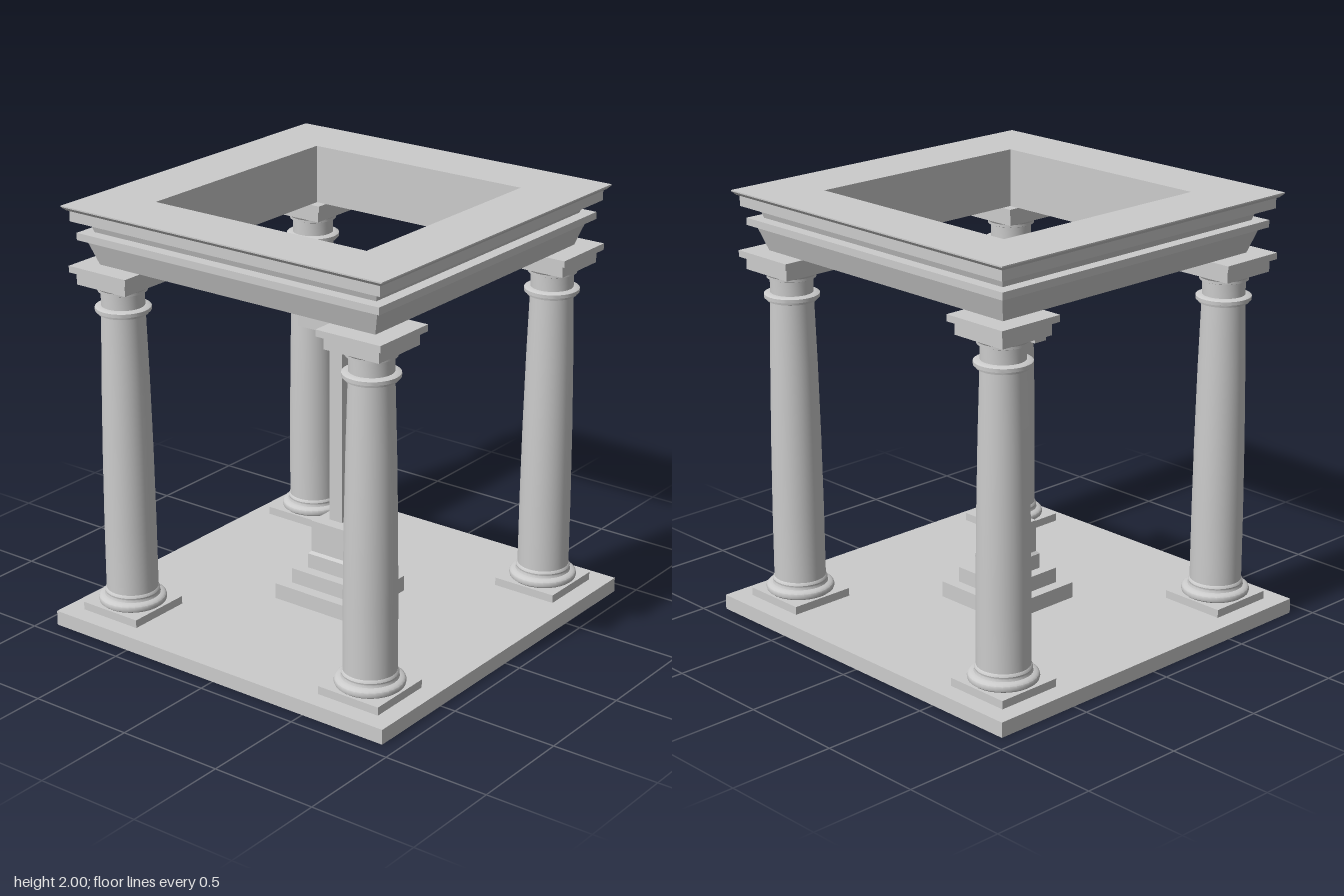
import * as THREE from 'three';
import { toCreasedNormals } from 'three/addons/utils/BufferGeometryUtils.js';

const material = new THREE.MeshStandardMaterial({ color: 0xcccccc });
const flatMaterial = new THREE.MeshStandardMaterial({ color: 0xcccccc, flatShading: true });
const points = (list) => list.map(([x, y]) => new THREE.Vector2(x, y));

// Box given by its half width and its bottom and top heights
function block(name, half, bottom, top, halfDepth = half) {
  const mesh = new THREE.Mesh(new THREE.BoxGeometry(half * 2, top - bottom, halfDepth * 2), material);
  mesh.position.y = (bottom + top) / 2;
  mesh.name = name;
  return mesh;
}

// Round moulding turned from a [radius, height] profile
function turned(name, profile) {
  const geometry = toCreasedNormals(new THREE.LatheGeometry(points(profile), 32), 0.6);
  const mesh = new THREE.Mesh(geometry, material);
  mesh.name = name;
  return mesh;
}

// Square moulding swept from a [half width, height] profile
function squareMoulding(name, profile) {
  const scaled = profile.map(([half, y]) => [half * Math.SQRT2, y]);
  const geometry = new THREE.LatheGeometry(points(scaled), 4);
  geometry.rotateY(Math.PI / 4);
  const mesh = new THREE.Mesh(geometry, flatMaterial);
  mesh.name = name;
  return mesh;
}

function createColumn() {
  const column = new THREE.Group();
  column.name = 'column';
  column.add(block('plinth', 0.159, 0.07, 0.108));
  column.add(turned('columnBase', [
    [0, 0.108], [0.145, 0.108], [0.154, 0.115], [0.157, 0.126], [0.154, 0.138], [0.145, 0.146],
    [0.128, 0.149], [0.124, 0.16], [0.126, 0.168], [0.122, 0.178], [0.117, 0.182],
  ]));
  // Shaft with a gentle swelling
  column.add(turned('shaft', [
    [0.119, 0.178], [0.118, 0.5], [0.114, 0.85], [0.107, 1.2], [0.098, 1.505],
  ]));
  column.add(turned('neckRing', [
    [0.097, 1.5], [0.113, 1.505], [0.115, 1.515], [0.125, 1.518],
    [0.125, 1.534], [0.115, 1.539], [0.097, 1.541],
  ]));
  column.add(turned('neckAndEchinus', [
    [0.097, 1.535], [0.097, 1.605], [0.111, 1.61], [0.111, 1.622], [0.118, 1.632], [0.122, 1.643],
  ]));
  column.add(block('lowerAbacus', 0.14, 1.64, 1.697));
  column.add(block('upperAbacus', 0.163, 1.697, 1.727));
  return column;
}

export function createModel() {
  const model = new THREE.Group();
  model.name = 'crossPavilion';
  model.add(block('floorSlab', 0.925, 0, 0.07));

  // Four corner columns
  for (const x of [-1, 1]) {
    for (const z of [-1, 1]) {
      const column = createColumn();
      column.position.set(x * 0.678, 0, z * 0.678);
      model.add(column);
    }
  }

  // Open square entablature, a closed ring profile
  model.add(squareMoulding('entablature', [
    [0.568, 1.727], [0.745, 1.727], [0.78, 1.832], [0.79, 1.838], [0.813, 1.842], [0.813, 1.875],
    [0.758, 1.875], [0.775, 1.928], [0.832, 1.928], [0.832, 1.975], [0.842, 1.978],
    [0.858, 1.994], [0.858, 2], [0.568, 2], [0.568, 1.727],
  ]));

  // Stepped pedestal with a chamfered foot below the die
  const pedestal = new THREE.Group();
  pedestal.name = 'pedestal';
  [[0.213, 0.07, 0.145], [0.158, 0.145, 0.217], [0.105, 0.217, 0.288]].forEach(([half, bottom, top]) =>
    pedestal.add(block('step', half, bottom, top)));
  pedestal.add(squareMoulding('chamfer', [[0.105, 0.288], [0.093, 0.3]]));
  pedestal.add(block('die', 0.093, 0.288, 0.452));
  model.add(pedestal);

  // Cross
  const cross = new THREE.Group();
  cross.name = 'cross';
  cross.add(block('post', 0.035, 0.452, 1.602));
  cross.add(block('crossArm', 0.213, 1.357, 1.427, 0.0348));
  cross.position.z = -0.003;
  model.add(cross);

  return model;
}
